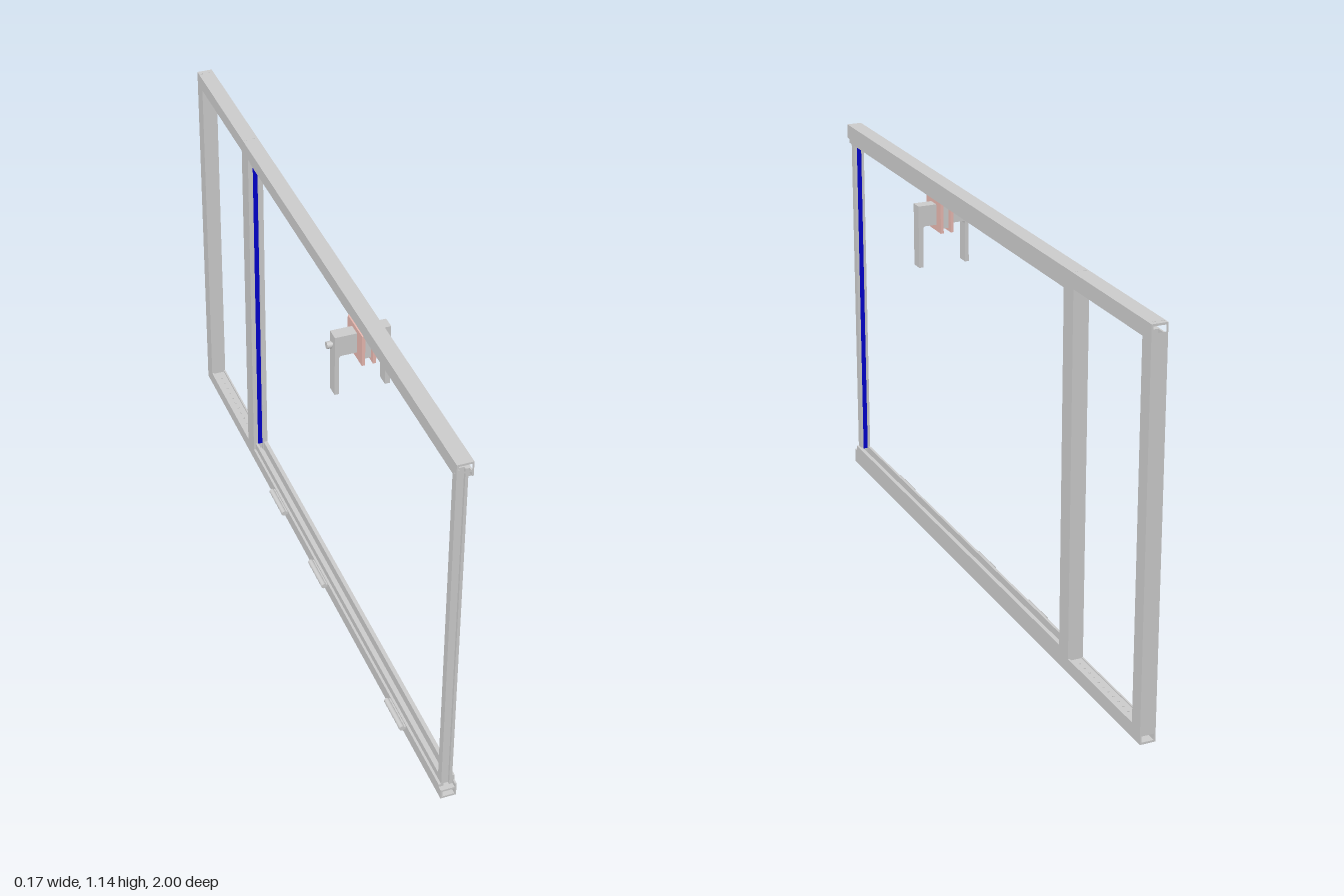
import * as THREE from 'three';

const grey = new THREE.MeshStandardMaterial({ color: 0xcccccc });
const blue = new THREE.MeshStandardMaterial({ color: 0x0000cc });
const pink = new THREE.MeshStandardMaterial({ color: 0xe8b8b0 });

const X0 = -0.012, X1 = 0.033, XC = (X0 + X1) / 2;   // frame thickness
const TOP = 1.14;

export function createModel() {
  const model = new THREE.Group();

  const add = (name, geo, mat = grey, parent = model) => {
    const mesh = new THREE.Mesh(geo, mat);
    mesh.name = name;
    parent.add(mesh);
    return mesh;
  };

  // Box given by its limits on each axis
  const box = (name, x0, x1, y0, y1, z0, z1, mat = grey, parent = model) => {
    const mesh = add(name, new THREE.BoxGeometry(x1 - x0, y1 - y0, z1 - z0), mat, parent);
    mesh.position.set((x0 + x1) / 2, (y0 + y1) / 2, (z0 + z1) / 2);
    return mesh;
  };

  const outline = (points) => new THREE.Shape(points.map(([x, y]) => new THREE.Vector2(x, y)));
  const rect = (x0, x1, y0, y1) => [[x0, y0], [x1, y0], [x1, y1], [x0, y1]];

  // Profile drawn in x/y, run along z
  const alongZ = (name, shape, z0, z1) => {
    const geo = new THREE.ExtrudeGeometry(shape, { depth: z1 - z0, bevelEnabled: false });
    return add(name, geo.translate(0, 0, z0));
  };
  // Profile drawn in x/-z, run along y
  const alongY = (name, shape, y0, y1) => {
    const geo = new THREE.ExtrudeGeometry(shape, { depth: y1 - y0, bevelEnabled: false });
    return add(name, geo.rotateX(-Math.PI / 2).translate(0, y0, 0));
  };

  // Top and bottom rails: hollow bars with a lipped outer groove and glazing beads
  for (const top of [true, false]) {
    const n = top ? 'top' : 'bottom';
    const fy = (y) => (top ? TOP - y : y);
    const span = (name, x0, x1, a, b, z0, z1) =>
      box(name, x0, x1, Math.min(fy(a), fy(b)), Math.max(fy(a), fy(b)), z0, z1);

    const rail = outline(rect(X0, X1, 0, 0.03).map(([x, y]) => [x, fy(y)]));
    rail.holes.push(outline(rect(X0 + 0.005, X1 - 0.005, 0.006, 0.024).map(([x, y]) => [x, fy(y)])));
    alongZ(n + 'Rail', rail, -1, 1);
    span(n + 'OuterLip', X1 - 0.005, X1, 0.03, 0.043, -1, 1);
    span(n + 'InnerLip', X0, X0 + 0.005, 0.03, 0.04, -1, -0.53);
    span(n + 'SideFiller', X0 + 0.005, X1 - 0.005, 0.03, 0.037, -0.955, -0.585);
    const end = top ? 0.055 : 0.06;
    span(n + 'OuterBead', 0.021, X1, 0.03, end, -0.53, 0.985);
    span(n + 'InnerBead', -0.005, 0.002, 0.03, end, -0.53, 0.985);
    span(n + 'BeadStep', X0, -0.005, 0.03, 0.038, -0.53, 0.985);
  }

  // Front stile: H section with grooves facing both ways
  const flangeA = [[-0.005, -0.985], [0.002, -0.985], [0.002, -0.977], [0.018, -0.977], [0.018, -0.985], [0.026, -0.985]];
  const flangeB = [[0.026, -0.962], [0.018, -0.962], [0.018, -0.97], [0.002, -0.97], [0.002, -0.962], [-0.005, -0.962]];
  alongY('frontStile', outline([...flangeA, ...flangeB]), 0.03, TOP - 0.03);

  // Middle post: hollow, with a groove on its front side
  const post = outline([
    [X0, 0.53], [0.002, 0.53], [0.002, 0.541], [0.018, 0.541], [0.018, 0.53],
    [X1, 0.53], [X1, 0.585], [X0, 0.585],
  ]);
  post.holes.push(outline(rect(X0 + 0.005, X1 - 0.005, 0.548, 0.58)));
  alongY('middlePost', post, 0.03, TOP - 0.03);

  // Rear post: hollow box
  const rear = outline(rect(X0, X1, 0.955, 1));
  rear.holes.push(outline(rect(X0 + 0.004, X1 - 0.004, 0.96, 0.995)));
  alongY('rearPost', rear, 0.03, TOP - 0.03);

  // Blue seals set in the grooves of the stile and post
  box('frontSeal', 0.003, 0.017, 0.055, 1.09, 0.964, 0.97, blue);
  box('middleSeal', 0.003, 0.017, 0.055, 1.09, -0.541, -0.533, blue);

  // Rail screws on the top face
  for (const z of [-0.985, -0.575]) {
    for (const x of [-0.004, 0.02]) {
      add('railScrew', new THREE.CylinderGeometry(0.004, 0.004, 0.002, 12)).position.set(x, TOP, z);
    }
  }
  // Row of studs along the floor of the side bay
  for (let i = 0; i < 12; i++) {
    add('floorStud', new THREE.CylinderGeometry(0.003, 0.003, 0.002, 10)).position.set(XC, 0.038, -0.92 + i * 0.028);
  }

  // Hinge barrels on the bottom rail
  for (const z of [-0.27, 0.08, 0.695]) {
    const hinge = new THREE.Group();
    hinge.name = 'hinge';
    const barrel = add('hingeBarrel', new THREE.CylinderGeometry(0.008, 0.008, 0.116, 16), grey, hinge);
    barrel.rotation.x = Math.PI / 2;
    barrel.position.set(-0.023, 0.03, z);
    box('hingeLeaf', -0.02, X0 + 0.001, 0.026, 0.034, z - 0.058, z + 0.058, grey, hinge);
    model.add(hinge);
  }

  // Sliding carriage hanging from the top rail, clad by two plates
  const carriage = new THREE.Group();
  carriage.name = 'carriage';
  model.add(carriage);
  box('carriageBlock', 0, 0.022, 1.005, 1.1, 0.285, 0.36, grey, carriage);
  box('outerPlate', 0.022, 0.031, 0.995, 1.088, 0.27, 0.375, pink, carriage);
  box('innerPlate', -0.009, 0, 0.995, 1.088, 0.27, 0.375, pink, carriage);

  // Forked handle straddling the carriage, with rounded inner corners
  const fork = new THREE.Shape();
  const r = 0.008;
  fork.moveTo(-0.07, 0.89);
  fork.lineTo(-0.058, 0.89);
  fork.lineTo(-0.058, 1.013 - r);
  fork.quadraticCurveTo(-0.058, 1.013, -0.058 + r, 1.013);
  fork.lineTo(0.072 - r, 1.013);
  fork.quadraticCurveTo(0.072, 1.013, 0.072, 1.013 - r);
  fork.lineTo(0.072, 0.89);
  fork.lineTo(0.086, 0.89);
  fork.lineTo(0.086, 1.074);
  fork.lineTo(-0.07, 1.074);
  alongZ('forkHandle', fork, 0.302, 0.338);

  // Clamping screw on the side of the handle
  const knob = (name, radius, x0, x1) => {
    const mesh = add(name, new THREE.CylinderGeometry(radius, radius, x1 - x0, 20));
    mesh.rotation.z = Math.PI / 2;
    mesh.position.set((x0 + x1) / 2, 1.043, 0.32);
  };
  knob('clampScrewHead', 0.01, -0.087, -0.074);
  knob('clampScrewShank', 0.006, -0.074, -0.069);

  return model;
}
